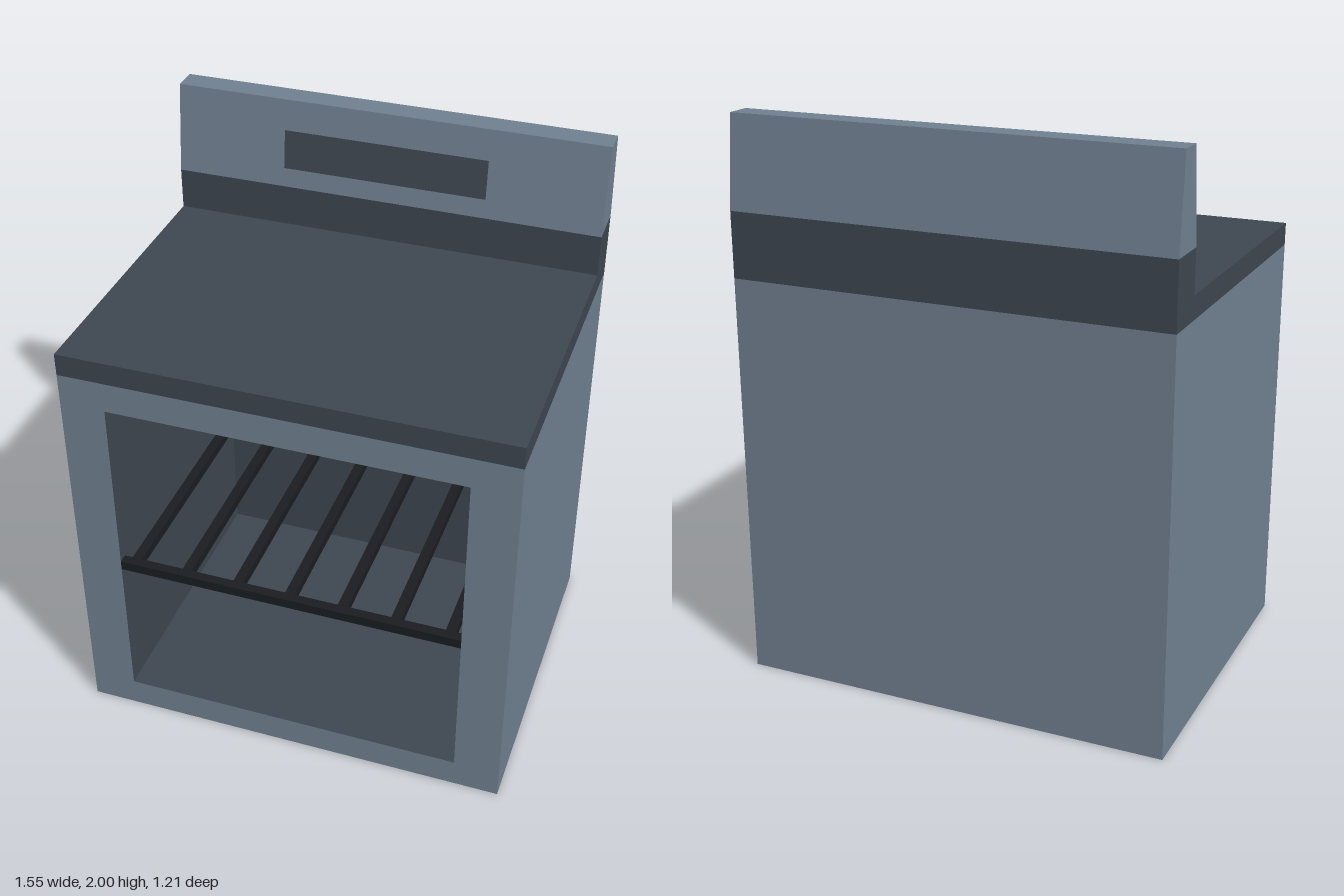
import * as THREE from 'three';

const paint = (color) => new THREE.MeshStandardMaterial({ color });

// A box without its front (+z) face; inward turns the walls to face inside.
function openBox(x0, x1, y0, y1, z0, z1, inward = false) {
  const g = new THREE.BoxGeometry(x1 - x0, y1 - y0, z1 - z0);
  const idx = Array.from(g.index.array).filter((_, i) => i < 24 || i >= 30);
  g.setIndex(inward ? idx.reverse() : idx);
  g.clearGroups();
  g.computeVertexNormals();
  return g.translate((x0 + x1) / 2, (y0 + y1) / 2, (z0 + z1) / 2);
}

// Extrudes a [z, y] side profile across the full width.
function acrossWidth(points, width) {
  const shape = new THREE.Shape(points.map(([z, y]) => new THREE.Vector2(-z, y)));
  const g = new THREE.ExtrudeGeometry(shape, { depth: width, bevelEnabled: false });
  return g.translate(0, 0, -width / 2).rotateY(Math.PI / 2);
}

export function createModel() {
  const group = new THREE.Group();
  const steel = paint(0x708090);
  const dark = paint(0x3e4650);
  const black = paint(0x1a1d21);
  const add = (name, geometry, material, parent = group) => {
    const mesh = new THREE.Mesh(geometry, material);
    mesh.name = name;
    parent.add(mesh);
    return mesh;
  };

  const W = 0.777, F = 0.603, B = -0.603, H = 1.45;
  const cav = { x0: -0.617, x1: 0.615, y0: 0.105, y1: 1.34, z0: -0.43 };

  // Cabinet shell and the front frame around the oven opening
  add('cabinet', openBox(-W, W, 0, H, B, F), steel);
  const frame = new THREE.Shape([[-W, 0], [W, 0], [W, H], [-W, H]].map((p) => new THREE.Vector2(...p)));
  frame.holes.push(new THREE.Path([[cav.x0, cav.y0], [cav.x0, cav.y1], [cav.x1, cav.y1], [cav.x1, cav.y0]]
    .map((p) => new THREE.Vector2(...p))));
  add('frontFrame', new THREE.ShapeGeometry(frame).translate(0, 0, F), steel);
  add('ovenCavity', openBox(cav.x0, cav.x1, cav.y0, cav.y1, cav.z0, F, true), dark);

  // Cooktop slab with its raised back ledge
  add('cooktop', acrossWidth([[F, H], [F, 1.53], [-0.443, 1.53], [-0.443, 1.68], [B, 1.68], [B, H]], 2 * W), dark);

  // Tapered control panel
  const low = [-0.443, 1.68], top = [-0.48, 2];
  add('controlPanel', acrossWidth([low, top, [-0.57, 2], [B, 1.68]], 2 * W), steel);

  // Display lying on the sloping panel front
  const slope = Math.atan2(low[0] - top[0], top[1] - low[1]);
  const midY = 1.82;
  const midZ = low[0] - (midY - low[1]) * Math.tan(slope);
  const display = add('display', new THREE.PlaneGeometry(0.74, 0.14 / Math.cos(slope)), dark);
  display.position.set(-0.005, midY, midZ + 0.003);
  display.rotation.x = -slope;

  // Oven rack: a front rail and seven bars running back
  const rack = new THREE.Group();
  rack.name = 'ovenRack';
  group.add(rack);
  const t = 0.035, rackY = 0.677, barEnd = -0.37;
  add('rackRail', new THREE.BoxGeometry(cav.x1 - cav.x0, t, t), black, rack)
    .position.set((cav.x0 + cav.x1) / 2, rackY, F - t / 2);
  for (let i = 0; i < 7; i++) {
    const length = F - t - barEnd;
    add('rackBar', new THREE.BoxGeometry(t, t, length), black, rack)
      .position.set(-0.57 + i * 0.19, rackY, barEnd + length / 2);
  }
  return group;
}
